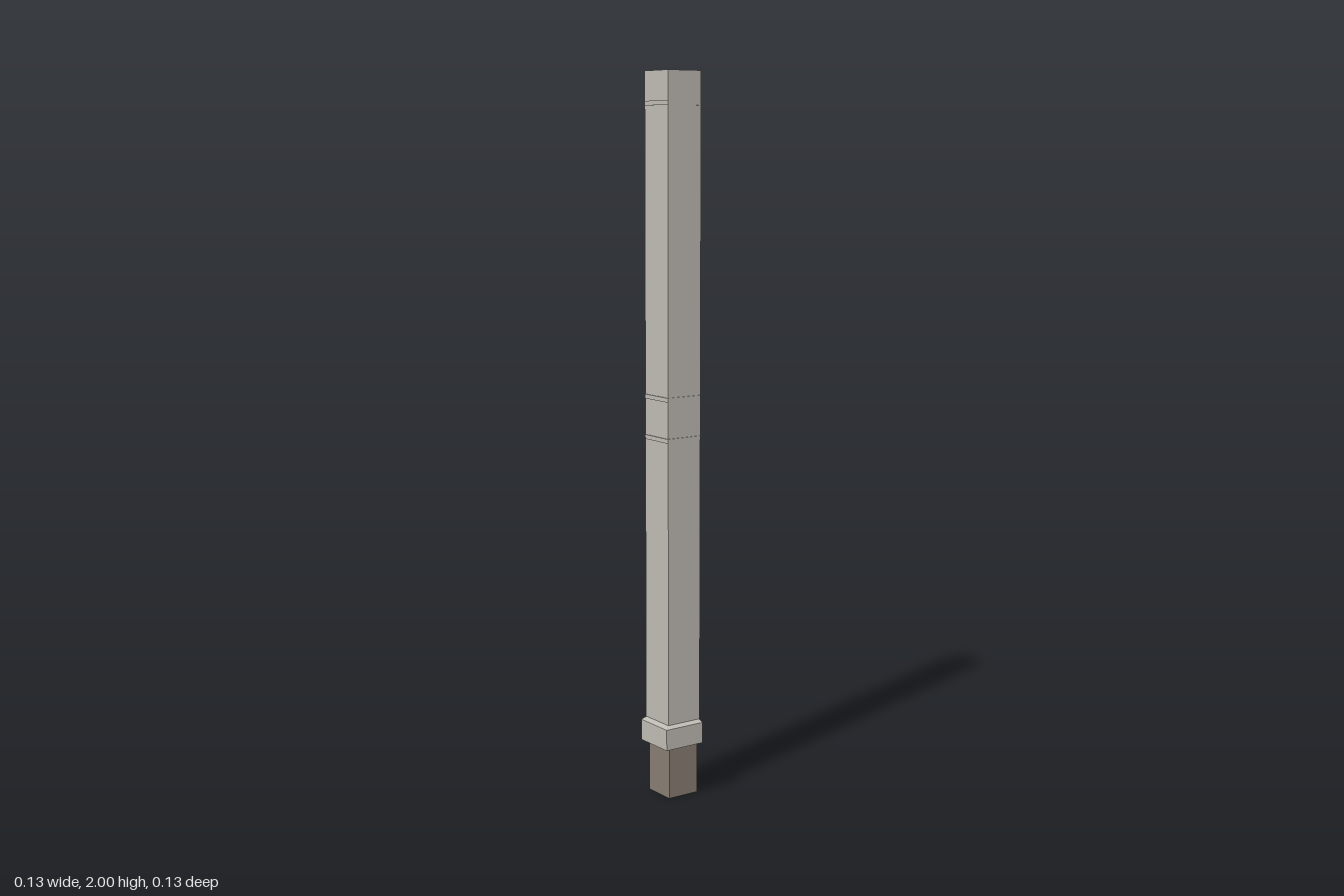
import * as THREE from 'three';

const BACK = -0.064;   // flush rear faces on -x and -z
const INNER = -0.061;  // trim stops just short of the rear faces

const stone = new THREE.MeshStandardMaterial({ color: 0xbfbbb4 });
stone.name = 'paleStone';
const earth = new THREE.MeshStandardMaterial({ color: 0x877c72 });
earth.name = 'brownFoot';

// Square block running from one x/z corner to the opposite one
function block(name, from, to, y0, y1, material) {
  const size = to - from;
  const geometry = new THREE.BoxGeometry(size, y1 - y0, size);
  geometry.translate((from + to) / 2, (y0 + y1) / 2, (from + to) / 2);
  const mesh = new THREE.Mesh(geometry, material);
  mesh.name = name;
  return mesh;
}

export function createModel() {
  const group = new THREE.Group();
  group.name = 'cornerPost';

  // Buried foot and tall shaft
  group.add(block('foot', BACK, 0.032, 0, 0.153, earth));
  group.add(block('shaft', BACK, 0.0435, 0.153, 2, stone));

  // Plinth on the two outer sides, its top sloping gently outward
  const plinth = block('plinth', INNER, 0.062, 0.153, 0.217, stone);
  const p = plinth.geometry.attributes.position;
  for (let i = 0; i < p.count; i++) {
    if (p.getY(i) < 0.2) continue;
    if (p.getX(i) > 0) p.setX(i, 0.047);
    if (p.getZ(i) > 0) p.setZ(i, 0.047);
  }
  // Vertical skirt reaching almost to the sloped top
  plinth.geometry.translate(0, -0.212, 0).scale(1, 0.005 / 0.064, 1);
  const box = new THREE.Box3().setFromBufferAttribute(p);
  plinth.geometry.translate(0, 0.217 - box.max.y, 0);
  plinth.geometry.computeVertexNormals();
  plinth.name = 'plinthTop';
  group.add(block('plinthBase', INNER, 0.062, 0.153, 0.212, stone), plinth);

  // Fine trim lines around the outer corner
  [1.015, 1.127, 1.915].forEach((y) => {
    group.add(block('trimLine', INNER, 0.0465, y - 0.006, y + 0.006, stone));
  });

  return group;
}
